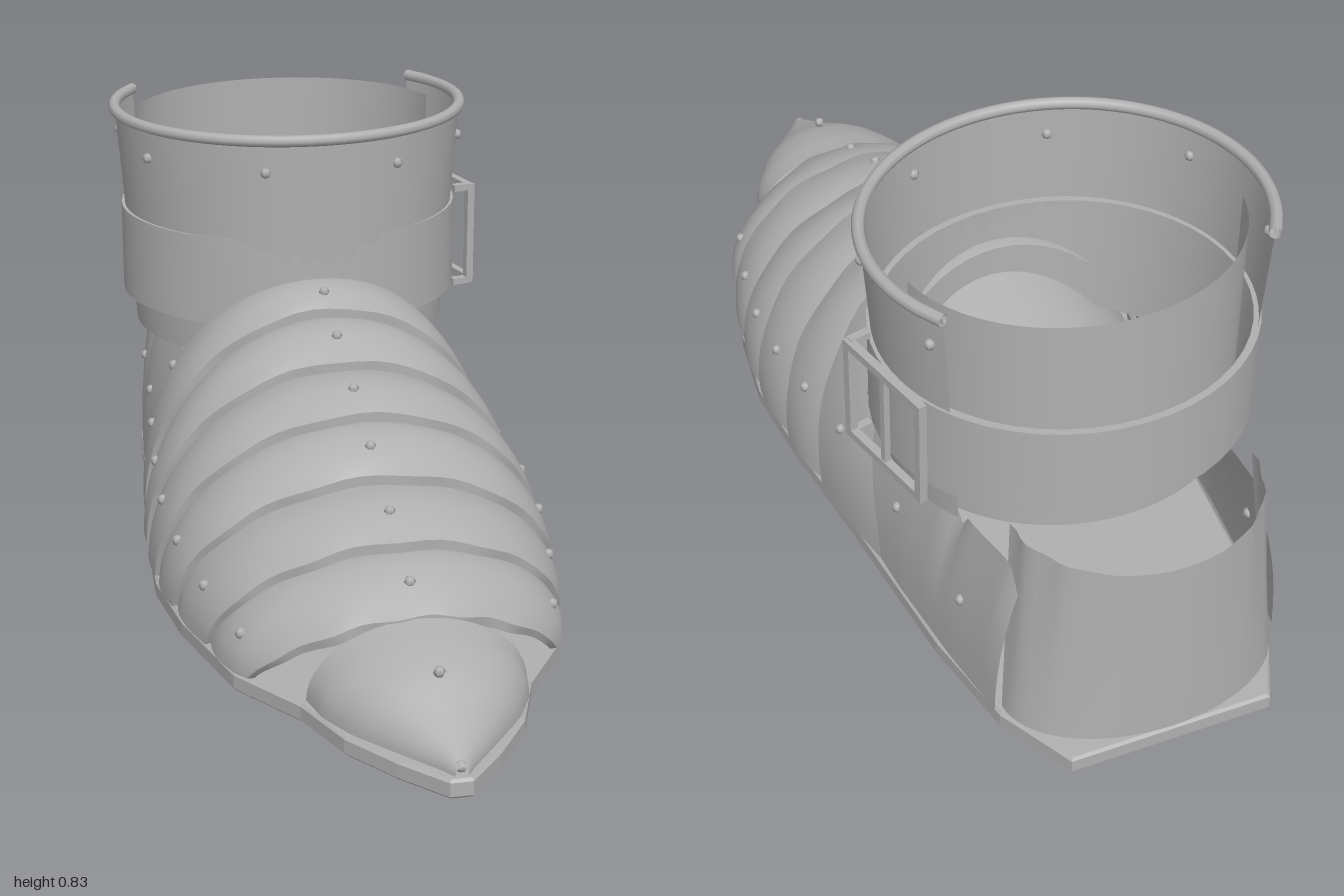
import * as THREE from 'three';

const steel = new THREE.MeshStandardMaterial({ color: 0xb0b0b0, side: THREE.DoubleSide });
steel.name = 'steel';

// Linear interpolation through [position, value] pairs sorted by position.
function lerpTable(table, p) {
  if (p <= table[0][0]) return table[0][1];
  for (let i = 1; i < table.length; i++) {
    const [a, va] = table[i - 1], [b, vb] = table[i];
    if (p <= b) return va + (vb - va) * (p - a) / (b - a);
  }
  return table[table.length - 1][1];
}

// Curved sheet: fn(u, v) gives [x, y, z] for u, v in 0..1.
function sheet(nu, nv, fn) {
  const pos = [], idx = [];
  for (let j = 0; j <= nv; j++) for (let i = 0; i <= nu; i++) pos.push(...fn(i / nu, j / nv));
  for (let j = 0; j < nv; j++) for (let i = 0; i < nu; i++) {
    const a = j * (nu + 1) + i, b = a + nu + 1;
    idx.push(a, a + 1, b, a + 1, b + 1, b);
  }
  const g = new THREE.BufferGeometry();
  g.setAttribute('position', new THREE.Float32BufferAttribute(pos, 3));
  g.setIndex(idx);
  g.computeVertexNormals();
  return g;
}

const BASE = 0.045;
const footWidth = [[-0.45, 0.325], [-0.3, 0.345], [-0.15, 0.37], [0, 0.385], [0.15, 0.388], [0.3, 0.372],
  [0.5, 0.325], [0.57, 0.3], [0.69, 0.22]];
const footHeight = [[-0.33, 0.54], [-0.18, 0.53], [-0.07, 0.5], [0.07, 0.438], [0.23, 0.39], [0.37, 0.32],
  [0.54, 0.262], [0.69, 0.185]];

export function createModel() {
  const model = new THREE.Group();
  const add = (name, geo) => {
    const m = new THREE.Mesh(geo, steel);
    m.name = name;
    model.add(m);
    return m;
  };
  const rivetGeo = new THREE.SphereGeometry(0.011, 6, 4);
  const rivet = (x, y, z) => add('rivet', rivetGeo).position.set(x, y, z);

  // Sole plate
  const half = [[0.02, 1], [0.09, 0.92], [0.16, 0.82], [0.21, 0.69], [0.305, 0.55], [0.365, 0.32], [0.388, 0.14],
    [0.375, -0.05], [0.345, -0.3], [0.31, -0.65], [0.27, -0.85], [0.195, -0.995]];
  const outline = [...half, ...half.map(([x, z]) => [-x, z]).reverse()];
  const soleGeo = new THREE.ExtrudeGeometry(
    new THREE.Shape(outline.map(([x, z]) => new THREE.Vector2(x, -z))),
    { depth: 0.026, bevelEnabled: true, bevelThickness: 0.005, bevelSize: 0.005, bevelOffset: -0.005, bevelSegments: 1 });
  soleGeo.rotateX(-Math.PI / 2);
  add('sole', soleGeo).position.y = 0.007;

  // Toe cap, coming to a point
  const toeWidth = [[0.69, 0.2], [0.76, 0.185], [0.83, 0.148], [0.92, 0.075], [0.98, 0.025], [1, 0.012]];
  const toeTop = [[0.69, 0.182], [0.76, 0.17], [0.83, 0.15], [0.92, 0.1], [0.98, 0.072], [1, 0.062]];
  add('toeCap', sheet(24, 14, (u, v) => {
    const a = Math.PI * u, z = 0.69 + 0.31 * v;
    return [Math.cos(a) * lerpTable(toeWidth, z), BASE + Math.sin(a) * (lerpTable(toeTop, z) - BASE), z];
  }));
  rivet(0, 0.155, 0.84);
  rivet(0, 0.058, 0.99);

  // Overlapping foot lames; each one covers the rear of the lame in front of it
  const fronts = [0.69, 0.54, 0.37, 0.23, 0.07, -0.07];
  fronts.forEach((zf, k) => {
    const last = k === fronts.length - 1;
    const zr = last ? -0.19 : fronts[k + 1] - 0.03;
    const lamePoint = (u, v, drop = 0) => {
      const a = Math.PI * u, s = Math.sin(a);
      const wobble = v === 0 ? 0.006 * Math.sin(u * 37 + k * 2) * s : 0;
      const shear = last ? 0.11 + 0.13 * v : 0.1;
      const top = zf + (zr - zf) * v;
      const z = top - shear * (1 - s) + wobble;
      const inset = drop + (last ? 0 : 0.035 * v * v) - 0.012 * Math.sin(Math.PI * v);
      const w = lerpTable(footWidth, z) - inset * 0.6;
      const h = lerpTable(footHeight, top) - inset;
      return [w * Math.cos(a), BASE + (h - BASE) * s, z];
    };
    add('footLame', sheet(36, 8, (u, v) => lamePoint(u, v)));
    add('footLameEdge', sheet(36, 1, (u, v) => lamePoint(u, 0, 0.022 * v)));
    rivet(...lamePoint(0.5, 0.35));
    for (const u of [0.12, 0.88]) rivet(...lamePoint(u, 0.45));
    if (last) for (const u of [0.2, 0.8]) rivet(...lamePoint(u, 0.88));
  });

  // Instep plate under the last lame
  add('instepPlate', sheet(28, 4, (u, v) => {
    const a = Math.PI * u, s = Math.sin(a);
    return [(0.335 - 0.01 * v) * Math.cos(a), BASE + (0.42 - 0.05 * v) * s, -0.12 - 0.19 * v - 0.05 * (1 - s)];
  }));

  // Side plates, leaning inward, with a notched top edge
  const sideTop = [[-0.845, 0.32], [-0.82, 0.375], [-0.66, 0.345], [-0.64, 0.31], [-0.6, 0.365], [-0.2, 0.355]];
  const sideWidth = [[-0.845, 0.278], [-0.7, 0.302], [-0.5, 0.325], [-0.2, 0.345]];
  for (const side of [1, -1]) {
    const sidePoint = (u, v) => {
      const z = -0.845 + 0.645 * u;
      const x = lerpTable(sideWidth, z) - (0.04 + 0.04 * u) * v * v;
      return [side * x, BASE + (lerpTable(sideTop, z) - BASE) * v, z];
    };
    add('sidePlate', sheet(32, 6, sidePoint));
    rivet(...sidePoint(0.6, 0.52));
    rivet(...sidePoint(0.21, 0.5));
  }

  // Heel cup
  add('heelCup', sheet(32, 4, (u, v) => {
    const a = (u - 0.5) * Math.PI;
    const r = 0.262 - 0.03 * v + 0.004 * Math.sin(u * 50) * v;
    return [r * Math.sin(a), BASE + 0.395 * v, -0.79 - 0.207 * Math.cos(a) - 0.05 * (1 - v) * (1 - Math.cos(a))];
  }));

  // Ankle cuff: angle 0 faces the front
  const CZ = -0.493;
  const arcSheet = (from, to, y0, y1, rx0, rx1, rz0, rz1) => sheet(48, 6, (u, v) => {
    const a = THREE.MathUtils.degToRad(from + (to - from) * u);
    return [(rx0 + (rx1 - rx0) * v) * Math.sin(a), y0 + (y1 - y0) * v, CZ + (rz0 + (rz1 - rz0) * v) * Math.cos(a)];
  });
  add('frontCuff', arcSheet(-123, 123, 0.36, 0.825, 0.328, 0.364, 0.322, 0.335));
  add('rearCuff', arcSheet(100, 260, 0.36, 0.808, 0.318, 0.32, 0.28, 0.28));
  add('ankleBand', arcSheet(0, 360, 0.43, 0.615, 0.355, 0.355, 0.328, 0.328));
  add('ankleBandLip', arcSheet(0, 360, 0.615, 0.615, 0.355, 0.34, 0.328, 0.315));

  // Rolled rim along the front cuff
  const rimPoints = [];
  for (let i = 0; i <= 24; i++) {
    const a = THREE.MathUtils.degToRad(-123 + 246 * i / 24);
    rimPoints.push(new THREE.Vector3(0.364 * Math.sin(a), 0.823, CZ + 0.335 * Math.cos(a)));
  }
  add('cuffRim', new THREE.TubeGeometry(new THREE.CatmullRomCurve3(rimPoints), 64, 0.012, 8, false));
  for (const deg of [-107, -62, -17, 28, 73, 118]) {
    const a = THREE.MathUtils.degToRad(deg);
    rivet(0.361 * Math.sin(a), 0.757, CZ + 0.334 * Math.cos(a));
  }

  // Buckle on the left side of the band
  const buckle = new THREE.Group();
  buckle.name = 'buckle';
  const bar = (name, sx, sy, sz, x, y, z) => {
    const m = new THREE.Mesh(new THREE.BoxGeometry(sx, sy, sz), steel);
    m.name = name;
    m.position.set(x, y, z);
    buckle.add(m);
  };
  for (const s of [1, -1]) {
    bar('buckleUpright', 0.016, 0.22, 0.016, 0, 0, s * 0.105);
    bar('buckleCrossbar', 0.016, 0.016, 0.21, 0, s * 0.102, 0);
    bar('buckleMount', 0.04, 0.014, 0.016, -0.02, s * 0.105, 0.105);
  }
  bar('buckleTongue', 0.012, 0.19, 0.012, 0, 0, 0);
  buckle.position.set(0.364, 0.522, -0.55);
  buckle.rotation.y = 0.25;
  model.add(buckle);

  return model;
}
